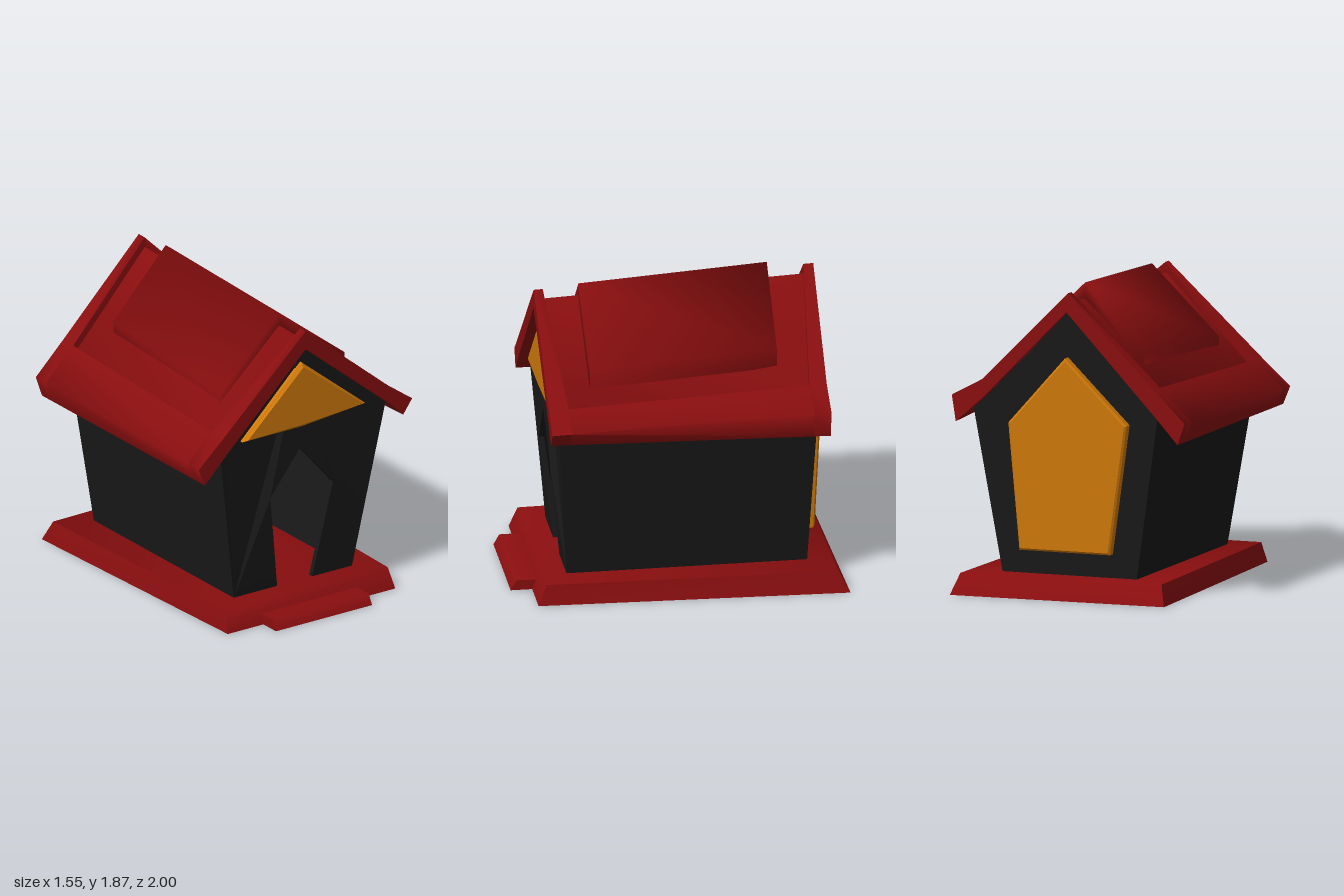
import * as THREE from 'three';
import { toCreasedNormals } from 'three/addons/utils/BufferGeometryUtils.js';

const material = (color) => new THREE.MeshStandardMaterial({ color, side: THREE.DoubleSide });
const RED = material(0x8a0e0f);
const DARK = material(0x191919);
const ORANGE = material(0xd07a0a);

function addMesh(parent, name, geometry, mat) {
  const mesh = new THREE.Mesh(geometry, mat);
  mesh.name = name;
  parent.add(mesh);
}

function fromTriangles(positions, crease) {
  const g = new THREE.BufferGeometry();
  g.setAttribute('position', new THREE.Float32BufferAttribute(positions, 3));
  return toCreasedNormals(g, crease);
}

// Solid between a front and a back section; each section is top points then
// bottom points, both listed from left to right in the front view.
function slab(frontTop, frontBottom, backTop, backBottom, crease = 0.3) {
  const out = [];
  const quad = (a, b, c, d) => out.push(...a, ...b, ...c, ...a, ...c, ...d);
  const A = [...frontTop, ...[...frontBottom].reverse()];
  const B = [...backTop, ...[...backBottom].reverse()];
  A.forEach((p, i) => {
    const j = (i + 1) % A.length;
    quad(p, A[j], B[j], B[i]);
  });
  for (let i = 0; i < frontTop.length - 1; i++) {
    quad(frontTop[i], frontBottom[i], frontBottom[i + 1], frontTop[i + 1]);
    quad(backTop[i + 1], backBottom[i + 1], backBottom[i], backTop[i]);
  }
  return fromTriangles(out, crease);
}

// Open-bottomed base with sloping sides
function baseGeometry() {
  const bottom = [[-0.61, 0, 0.87], [0.61, 0, 0.87], [0.68, 0, -1], [-0.68, 0, -0.96]];
  const top = [[-0.59, 0.125, 0.82], [0.59, 0.125, 0.82], [0.64, 0.125, -0.93], [-0.64, 0.125, -0.9]];
  const out = [...top[0], ...top[1], ...top[2], ...top[0], ...top[2], ...top[3]];
  bottom.forEach((b, i) => {
    const j = (i + 1) % 4;
    out.push(...b, ...bottom[j], ...top[j], ...b, ...top[j], ...top[i]);
  });
  return fromTriangles(out, 1.2);
}

// Extruded outline whose vertices are then leaned by zAt(y)
function leaningPlate(points, options, zAt) {
  const shape = new THREE.Shape(points.map(([x, y]) => new THREE.Vector2(x, y)));
  const g = new THREE.ExtrudeGeometry(shape, { bevelEnabled: false, ...options });
  const p = g.attributes.position;
  for (let i = 0; i < p.count; i++) p.setZ(i, p.getZ(i) + zAt(p.getY(i)));
  return toCreasedNormals(g, 0.3);
}

// Roof sections at the front and back ends: left eave, left bend, ridge, right bend, right eave
const FRONT_Z = 0.81, BACK_Z = -0.88;
const ROOF = {
  frontTop: [[-0.78, 1.08], [-0.6, 1.24], [0, 1.79], [0.63, 1.27], [0.775, 1.17]],
  frontBottom: [[-0.735, 0.97], [-0.58, 1.125], [0, 1.675], [0.62, 1.17], [0.71, 1.08]],
  backTop: [[-0.78, 1.1], [-0.58, 1.295], [-0.03, 1.845], [0.52, 1.295], [0.715, 1.19]],
  backBottom: [[-0.735, 0.97], [-0.58, 1.14], [-0.02, 1.73], [0.52, 1.18], [0.69, 1.03]],
};

// One of the roof lines at depth z (a number, or one per point)
function roofLine(side, z, from = 0, to = 4, drop = 0) {
  const points = [];
  for (let k = from; k <= to; k++) {
    const zk = Array.isArray(z) ? z[k] : z;
    const t = (FRONT_Z - zk) / (FRONT_Z - BACK_Z);
    const [fx, fy] = ROOF['front' + side][k];
    const [bx, by] = ROOF['back' + side][k];
    points.push([fx + (bx - fx) * t, fy + (by - fy) * t - drop, zk]);
  }
  return points;
}

function roofPart(zFront, zBack, from, to, drop) {
  return slab(
    roofLine('Top', zFront, from, to, drop), roofLine('Bottom', zFront, from, to),
    roofLine('Top', zBack, from, to, drop), roofLine('Bottom', zBack, from, to), 1.5);
}

function createRoof() {
  const roof = new THREE.Group();
  roof.name = 'roof';
  // Gable rims, wider toward the eaves
  addMesh(roof, 'frontRim', roofPart(FRONT_Z, [0.69, 0.69, 0.755, 0.69, 0.69]), RED);
  addMesh(roof, 'backRim', roofPart([-0.775, -0.775, -0.82, -0.775, -0.775], BACK_Z), RED);
  // Sunken deck and eaves
  addMesh(roof, 'roofDeck', roofPart(0.76, -0.83, 1, 3, 0.062), RED);
  addMesh(roof, 'rightEave', roofPart(0.7, -0.78, 0, 1), RED);
  addMesh(roof, 'leftEave', roofPart(0.7, -0.78, 3, 4), RED);
  // Raised crooked panel over the ridge, softly shaded
  const frontTop = [[-0.43, 1.4, 0.54], [0, 1.815, 0.54], [0.47, 1.45, 0.54]];
  const backTop = [[-0.41, 1.47, -0.6], [-0.03, 1.87, -0.6], [0.38, 1.48, -0.6]];
  const lower = (pts) => pts.map(([x, y, z]) => [x, y - 0.12, z]);
  addMesh(roof, 'ridgePanel', slab(frontTop, lower(frontTop), backTop, lower(backTop), 2), RED);
  return roof;
}

function createWalls() {
  const walls = new THREE.Group();
  walls.name = 'walls';
  const floor = 0.118, thick = 0.032;

  // Front wall with the pointed doorway, leaning outward up to the door's shoulders
  const frontOutline = [
    [-0.43, floor], [-0.113, floor], [-0.213, 0.74], [0, 1.02], [0.243, 0.74], [0.14, floor],
    [0.43, floor], [0.625, 1.18], [0, 1.69], [-0.585, 1.14],
  ];
  addMesh(walls, 'frontWall', leaningPlate(frontOutline, { depth: thick },
    (y) => Math.min(0.752, 0.675 + 0.115 * (y - 0.12)) - thick), DARK);

  // Back wall
  const backZ = (y) => -0.775 - 0.038 * (y - 0.12);
  const backOutline = [[-0.43, floor], [0.43, floor], [0.605, 1.13], [-0.02, 1.74], [-0.585, 1.15]];
  addMesh(walls, 'backWall', leaningPlate(backOutline, { depth: thick }, backZ), DARK);

  // Side walls, flaring outward to the eaves
  for (const [name, s, xf, yf, xb, yb] of [
    ['leftWall', 1, 0.625, 1.18, 0.605, 1.13], ['rightWall', -1, 0.585, 1.14, 0.585, 1.15]]) {
    const edge = (x, y, z) => {
      const pair = [[s * x, y, z], [s * (x - thick), y, z]];
      return s > 0 ? pair.reverse() : pair;
    };
    addMesh(walls, name, slab(
      edge(xf, yf, 0.75), edge(0.43, floor, 0.674),
      edge(xb, yb, -0.812), edge(0.43, floor, -0.774)), DARK);
  }

  // Orange gable panel at the front
  const bevel = { bevelEnabled: true, bevelSegments: 1, bevelThickness: 0.02, bevelSize: 0.02, bevelOffset: -0.02 };
  addMesh(walls, 'gablePanel', leaningPlate(
    [[-0.43, 1.16], [0, 1.16], [0.465, 1.2], [0, 1.575]],
    { depth: 0.02, ...bevel }, () => 0.745), ORANGE);

  // Tall orange panel on the back
  addMesh(walls, 'backPanel', leaningPlate(
    [[-0.28, 0.27], [0.3, 0.27], [0.36, 1.04], [-0.01, 1.45], [-0.4, 1.06]],
    { depth: 0.05, ...bevel, bevelThickness: 0.01, bevelSize: 0.012, bevelOffset: -0.012 },
    (y) => backZ(y) - 0.05), ORANGE);
  return walls;
}

export function createModel() {
  const house = new THREE.Group();
  house.name = 'petHouse';
  addMesh(house, 'base', baseGeometry(), RED);
  // Low doorstep with a sloping front
  addMesh(house, 'doorstep', slab(
    [[-0.35, 0.062, 0.965], [0.35, 0.062, 0.965]], [[-0.35, 0, 1], [0.35, 0, 1]],
    [[-0.35, 0.062, 0.83], [0.35, 0.062, 0.83]], [[-0.35, 0, 0.83], [0.35, 0, 0.83]], 1.2), RED);
  house.add(createWalls(), createRoof());
  return house;
}
